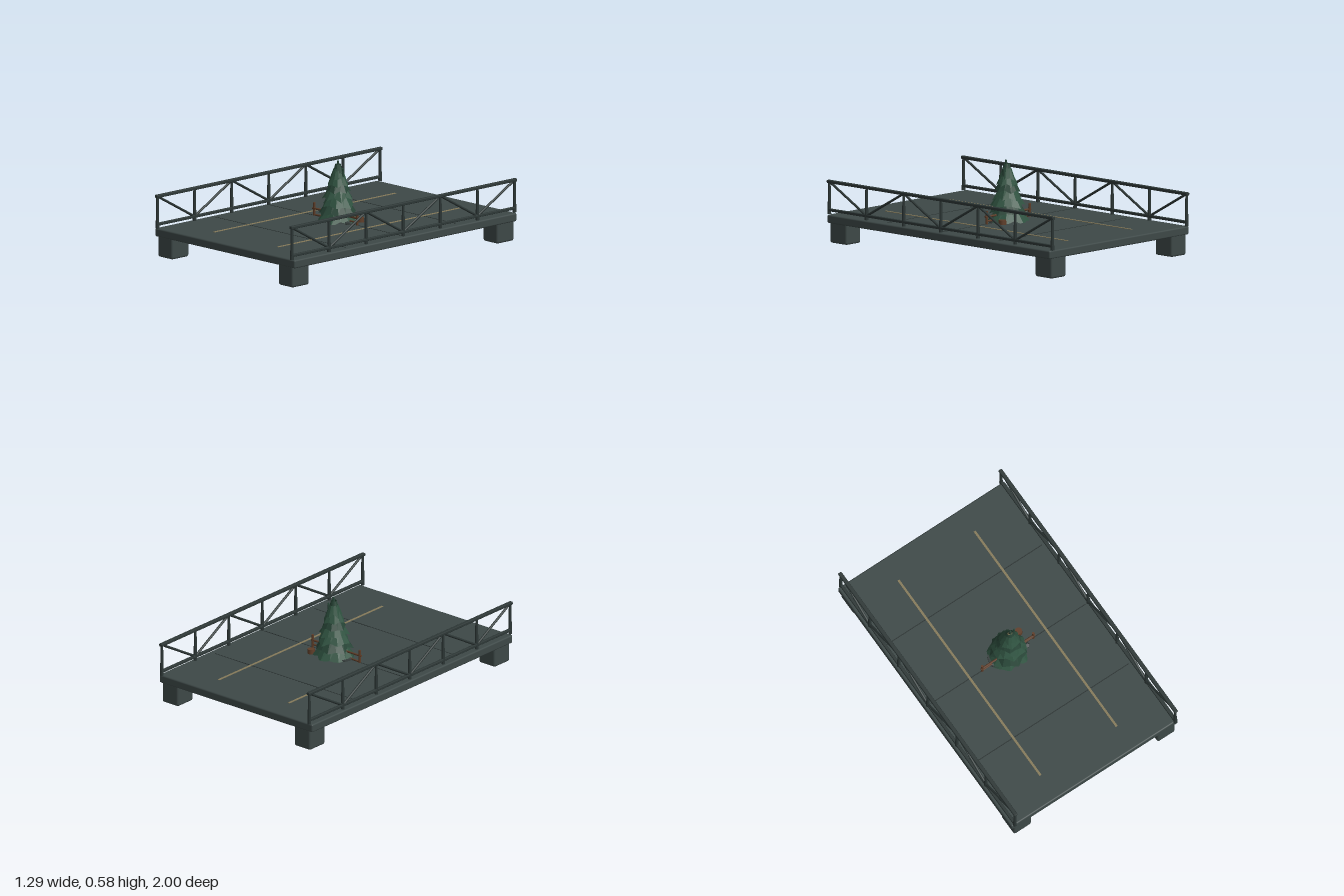
import * as THREE from 'three';
import { RoundedBoxGeometry } from 'three/addons/geometries/RoundedBoxGeometry.js';

const paint = (name, color, extra = {}) => {
  const m = new THREE.MeshStandardMaterial({ color, ...extra });
  m.name = name;
  return m;
};

export function createModel() {
  const model = new THREE.Group();
  model.name = 'bridgeDeck';

  const deckGrey = paint('deckGrey', 0x3d4847);
  const railGrey = paint('railGrey', 0x2d3736);
  const seamGrey = paint('seamGrey', 0x2a3231);
  const stripeTan = paint('stripeTan', 0x857a5a);
  const pineGreen = paint('pineGreen', 0x2f5240, { flatShading: true, side: THREE.DoubleSide });
  const darkGreen = paint('darkGreen', 0x274436, { flatShading: true, side: THREE.DoubleSide });
  const woodBrown = paint('woodBrown', 0x5e3d28);
  const stoneGrey = paint('stoneGrey', 0x353d3c, { flatShading: true });

  const add = (parent, name, geometry, material, x = 0, y = 0, z = 0) => {
    const mesh = new THREE.Mesh(geometry, material);
    mesh.name = name;
    mesh.position.set(x, y, z);
    parent.add(mesh);
    return mesh;
  };

  // Round bar between two points
  const bar = (parent, name, a, b, r0, r1, material, sides = 8) => {
    const from = new THREE.Vector3(...a), to = new THREE.Vector3(...b);
    const dir = to.clone().sub(from);
    const mesh = add(parent, name, new THREE.CylinderGeometry(r1, r0, dir.length(), sides), material);
    mesh.position.copy(from).add(to).multiplyScalar(0.5);
    mesh.quaternion.setFromUnitVectors(new THREE.Vector3(0, 1, 0), dir.normalize());
    return mesh;
  };

  // Deck slab and four corner feet
  add(model, 'deck', new RoundedBoxGeometry(1.29, 0.055, 1.97, 2, 0.01), deckGrey, 0, 0.1575, 0);
  for (const x of [-1, 1]) for (const z of [-1, 1]) {
    add(model, 'foot', new RoundedBoxGeometry(0.135, 0.145, 0.15, 2, 0.014), deckGrey, x * 0.556, 0.0725, z * 0.907);
  }

  // Lane stripes and panel seams
  for (const x of [-0.295, 0.295]) {
    add(model, 'laneStripe', new THREE.BoxGeometry(0.015, 0.004, 1.61), stripeTan, x, 0.186, -0.005);
  }
  for (const z of [-0.49, 0, 0.49]) {
    add(model, 'panelSeam', new THREE.BoxGeometry(1.2, 0.002, 0.006), seamGrey, 0, 0.1855, z);
  }

  // Truss railings
  const bays = 6, low = 0.213, high = 0.397;
  for (const x of [-0.621, 0.621]) {
    const railing = new THREE.Group();
    railing.name = x > 0 ? 'leftRailing' : 'rightRailing';
    model.add(railing);
    add(railing, 'topRail', new RoundedBoxGeometry(0.026, 0.02, 2, 1, 0.005), railGrey, x, high, 0);
    add(railing, 'bottomRail', new RoundedBoxGeometry(0.02, 0.018, 1.99, 1, 0.004), railGrey, x, low, 0);
    for (let i = 0; i <= bays; i++) {
      const z = 0.986 - i * 1.972 / bays;
      bar(railing, 'post', [x, 0.186, z], [x, 0.405, z], 0.012, 0.008, railGrey);
      if (i === bays) continue;
      const next = z - 1.972 / bays;
      const [y0, y1] = i % 2 ? [low, high] : [high, low];
      bar(railing, 'brace', [x, y0, z], [x, y1, next], 0.008, 0.008, railGrey);
    }
  }

  // Seeded noise for the foliage and stones
  let seed = 7;
  const noise = () => (seed = (seed * 16807) % 2147483647) / 2147483647;

  // Rocky footing, reaching slightly below the deck
  const footing = add(model, 'treeFooting', new THREE.CylinderGeometry(0.125, 0.14, 0.085, 9), stoneGrey, -0.015, 0.1525, -0.01);
  footing.scale.z = 0.72;

  // Tree: nested skirts with ragged lower edges
  const tree = new THREE.Group();
  tree.name = 'pineTree';
  model.add(tree);
  const tiers = [[0.19, 0.138], [0.245, 0.122], [0.292, 0.112], [0.338, 0.098], [0.384, 0.085], [0.428, 0.071], [0.468, 0.055], [0.5, 0.037]];
  tiers.forEach(([y, r], t) => {
    const n = 14 - Math.floor(t / 2), h = 0.085 - t * 0.004;
    const geo = new THREE.CylinderGeometry(r * 0.52, r, h, n, 1, true);
    const p = geo.attributes.position;
    const reach = Array.from({ length: n }, (_, i) => (i % 2 ? 1.06 : 0.9) + (noise() - 0.5) * 0.16);
    for (let i = 0; i <= n; i++) {
      const k = n + 1 + i, s = reach[i % n];
      p.setXYZ(k, p.getX(k) * s, p.getY(k) - (s - 0.95) * 0.1, p.getZ(k) * s);
    }
    geo.computeVertexNormals();
    const skirt = add(tree, 'foliageTier', geo, t % 3 === 1 ? darkGreen : pineGreen, 0.008 + t * 0.001, y + h / 2, -0.01 + t * 0.001);
    skirt.rotation.y = t * 1.3;
    skirt.scale.z = 0.93;
  });
  bar(tree, 'trunk', [0, 0.13, 0], [0.014, 0.52, 0], 0.035, 0.012, woodBrown, 7);
  add(tree, 'paleCrown', new THREE.ConeGeometry(0.022, 0.04, 7), stripeTan, 0.015, 0.534, 0);
  bar(tree, 'tip', [0.014, 0.51, 0], [0.02, 0.58, 0], 0.011, 0.006, darkGreen, 6);
  bar(tree, 'sideTip', [0.045, 0.46, -0.01], [0.055, 0.532, -0.012], 0.012, 0.006, darkGreen, 6);

  // Stones around the trunk base
  for (let i = 0; i < 7; i++) {
    const a = i * 0.9 + 0.3;
    const stone = add(model, 'stone', new THREE.DodecahedronGeometry(0.018 + noise() * 0.008), stoneGrey,
      0.01 + Math.cos(a) * 0.125, 0.188, -0.01 + Math.sin(a) * 0.095);
    stone.scale.y = 0.7;
    stone.rotation.y = a;
  }

  // Small wooden fence through the tree, and a stump
  const fence = new THREE.Group();
  fence.name = 'fence';
  model.add(fence);
  for (const x of [-0.2, 0.196]) bar(fence, 'fencePost', [x, 0.115, 0], [x, 0.27, 0], 0.0095, 0.0085, woodBrown);
  bar(fence, 'fenceRail', [-0.212, 0.232, 0.002], [0.208, 0.232, 0.002], 0.007, 0.007, woodBrown);
  bar(fence, 'lowerFenceRail', [-0.2, 0.19, 0], [0.2, 0.205, 0], 0.006, 0.006, woodBrown);
  add(model, 'stump', new THREE.CylinderGeometry(0.024, 0.026, 0.04, 10), woodBrown, 0.138, 0.195, -0.083);

  return model;
}
